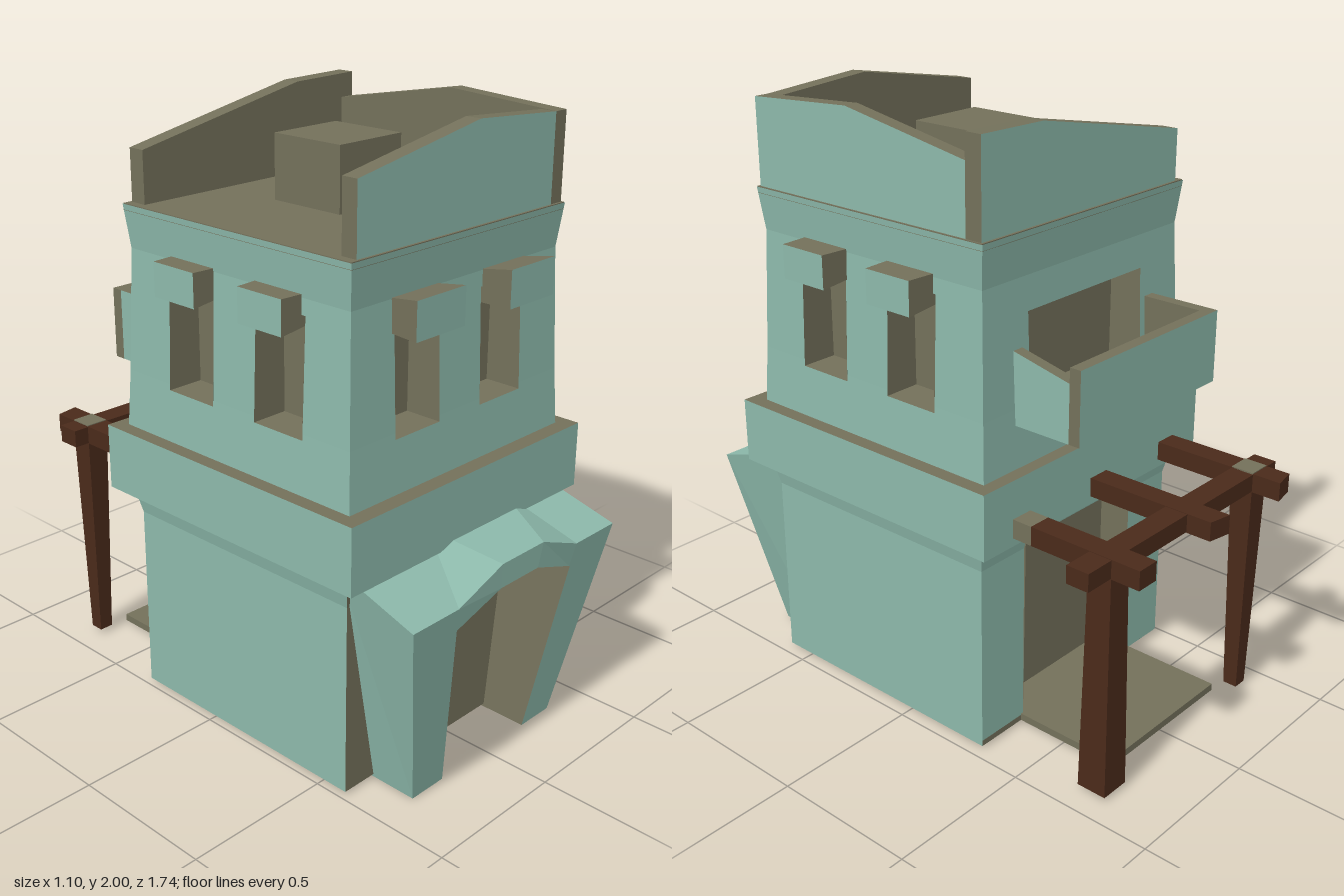
import * as THREE from 'three';

const mat = (color, side = THREE.FrontSide) => new THREE.MeshStandardMaterial({ color, side, flatShading: true });
const teal = mat(0x8cb8aa), olive = mat(0x73705a), brown = mat(0x4a2a1a);
const oliveOpen = mat(0x73705a, THREE.DoubleSide);
const TURN = { front: 0, right: Math.PI / 2, back: Math.PI, left: -Math.PI / 2 };
// Box face order: +x, -x, +y, -y, +z, -z
const OUTER = [olive, olive, olive, olive, teal, olive];

function add(parent, name, geometry, material) {
  const mesh = new THREE.Mesh(geometry, material);
  mesh.name = name;
  parent.add(mesh);
  return mesh;
}

// Box between limits, with an optional rule that moves its corners
function box(parent, name, [x0, x1], [y0, y1], [z0, z1], material, warp, segments = 1) {
  const g = new THREE.BoxGeometry(x1 - x0, y1 - y0, z1 - z0, segments);
  g.translate((x0 + x1) / 2, (y0 + y1) / 2, (z0 + z1) / 2);
  if (warp) {
    const p = g.attributes.position, v = new THREE.Vector3();
    for (let i = 0; i < p.count; i++) {
      warp(v.fromBufferAttribute(p, i));
      p.setXYZ(i, v.x, v.y, v.z);
    }
    g.computeVertexNormals();
  }
  return add(parent, name, g, material);
}

// Flat quads, corners counter-clockwise from outside
function quads(parent, name, list, material) {
  const pos = [];
  for (const [a, b, c, d] of list) pos.push(...a, ...b, ...c, ...a, ...c, ...d);
  const g = new THREE.BufferGeometry();
  g.setAttribute('position', new THREE.Float32BufferAttribute(pos, 3));
  g.computeVertexNormals();
  return add(parent, name, g, material);
}

// Four flared walls with recessed openings; each wall is made facing +z, then turned
function shell(parent, name, [x0, x1], [z0, z1], profile, holes, mats = {}) {
  const out = y => {
    let i = 1;
    while (i < profile.length - 1 && y > profile[i][0]) i++;
    const [a, b] = [profile[i - 1], profile[i]];
    return a[1] + (b[1] - a[1]) * (y - a[0]) / (b[0] - a[0]);
  };
  const spans = { front: [x0, x1, z1], right: [-z1, -z0, x1], back: [-x1, -x0, -z0], left: [z0, z1, -x0] };
  const sorted = a => [...new Set(a)].sort((p, q) => p - q);
  for (const side in spans) {
    const [u0, u1, d] = spans[side], open = holes[side] || [];
    const us = sorted([u0, u1, ...open.flatMap(h => [h[0], h[1]])]);
    const ys = sorted([...profile.map(p => p[0]), ...open.flatMap(h => [h[2], h[3]])]);
    const at = (u, y) => [u + (u === u0 ? -out(y) : u === u1 ? out(y) : 0), y, d + out(y)];
    const list = [];
    for (let i = 0; i + 1 < us.length; i++) for (let j = 0; j + 1 < ys.length; j++) {
      const u = (us[i] + us[i + 1]) / 2, y = (ys[j] + ys[j + 1]) / 2;
      if (open.some(h => u > h[0] && u < h[1] && y > h[2] && y < h[3])) continue;
      list.push([at(us[i], ys[j]), at(us[i + 1], ys[j]), at(us[i + 1], ys[j + 1]), at(us[i], ys[j + 1])]);
    }
    quads(parent, `${side}${name}Wall`, list, mats[side] || teal).rotation.y = TURN[side];
    // Recess behind each opening: a box without its front face
    for (const [a, b, lo, hi] of open) {
      const niche = box(parent, `${side}${name}Recess`, [a, b], [lo, hi], [d - 0.11, d], oliveOpen,
        v => { if (v.z > d - 0.05) v.z = d + out(v.y); });
      const index = [...niche.geometry.index.array];
      index.splice(24, 6);
      niche.geometry.setIndex(index);
      niche.geometry.clearGroups();
      niche.rotation.y = TURN[side];
    }
  }
}

// Battered entrance arch built from an outer and an inner outline
function entrance(parent) {
  const outer = [[-0.35, 0], [-0.5, 0.68], [-0.3, 0.68], [-0.1, 0.75], [0.1, 0.75], [0.28, 0.68], [0.48, 0.68], [0.34, 0]];
  const inner = [[-0.21, 0], [-0.29, 0.6], [-0.285, 0.602], [-0.1, 0.67], [0.08, 0.67], [0.265, 0.602], [0.27, 0.6], [0.2, 0]];
  const front = ([x, y]) => [x, y, Math.min(0.87, 0.76 + 0.162 * y)];
  const of = outer.map(front), nf = inner.map(front);
  const ob = outer.map(([x, y]) => [y > 0 ? x * 0.98 : x, y > 0 ? 0.765 : 0, 0.58]);
  const nb = inner.map(([x, y]) => [x, y, 0.58]);
  const face = [], reveal = [];
  for (let i = 0; i < 7; i++) {
    face.push([of[i], nf[i], nf[i + 1], of[i + 1]], [of[i], of[i + 1], ob[i + 1], ob[i]]);
    reveal.push([nf[i + 1], nf[i], nb[i], nb[i + 1]]);
  }
  reveal.push([ob[0], nb[0], nf[0], of[0]], [nb[7], ob[7], of[7], nf[7]]);
  quads(parent, 'entranceArch', face, teal);
  quads(parent, 'entranceReveal', reveal, olive);
}

// Roof wall with a kinked top; tops are [u, height] at start, kink and end
function parapet(parent, side, [d0, d1], tops) {
  const [a, k, b] = tops;
  const mid = (a[0] + b[0]) / 2;
  box(parent, side + 'Parapet', [a[0], b[0]], [1.69, 1.9], [d0, d1], OUTER, v => {
    const t = Math.abs(v.x - mid) < 0.01 ? k : v.x < mid ? a : b;
    v.x = t[0];
    if (v.y > 1.8) v.y = t[1];
  }, 2).rotation.y = TURN[side];
}

export function createModel() {
  const model = new THREE.Group();
  model.name = 'house';

  // Ground floor
  shell(model, 'Ground', [-0.48, 0.46], [-0.325, 0.6], [[0.01, 0], [0.65, 0], [0.74, 0.02]],
    { back: [[-0.26, 0.28, 0.035, 0.68]] }, { front: olive });
  box(model, 'groundBase', [-0.48, 0.46], [0.01, 0.03], [-0.325, 0.6], olive);
  box(model, 'backStep', [-0.29, 0.27], [0.01, 0.035], [-0.7, -0.3], olive);
  entrance(model);

  // Projecting band between the floors
  box(model, 'middleBand', [-0.55, 0.53], [0.74, 0.96], [-0.4, 0.68], [teal, teal, olive, olive, teal, teal]);

  // Upper floor with windows and a balcony door
  const sideWindows = [[-0.43, -0.23, 1.13, 1.5], [-0.05, 0.15, 1.13, 1.5]];
  shell(model, 'Upper', [-0.475, 0.455], [-0.33, 0.6],
    [[0.96, 0.025], [1.15, 0.015], [1.55, 0], [1.69, 0.015]], {
      front: [[-0.3, -0.105, 1.13, 1.5], [0.085, 0.28, 1.13, 1.5]],
      right: sideWindows,
      left: sideWindows.map(([a, b, c, d]) => [-b, -a, c, d]),
      back: [[-0.26, 0.29, 1.12, 1.44]],
    });
  box(model, 'roofFloor', [-0.488, 0.468], [1.67, 1.692], [-0.343, 0.613], olive);

  // Window hoods
  for (const s of [-1, 1]) {
    box(model, 'frontHood', [-0.105, 0.105], [1.45, 1.57], [0.58, 0.705], OUTER, v => {
      const wall = v.z < 0.6;
      if (wall && v.y > 1.5) v.y = 1.55;
      v.x = v.x * (wall ? 0.93 : 1) + s * (wall ? 0.2 : 0.21) - 0.01;
    });
    const side = s > 0 ? 'right' : 'left', wallAt = s > 0 ? 0.44 : 0.46;
    for (const z of [0.32, -0.045]) {
      box(model, side + 'Hood', [-0.095, 0.095], [1.45, 1.56], [wallAt, 0.55], OUTER, v => {
        if (v.z > 0.5) v.x *= 0.93;
        else if (v.y < 1.5) v.y = 1.465;
        v.x -= s * z;
      }).rotation.y = TURN[side];
    }
  }

  // Roof walls on three sides and two roof boxes
  parapet(model, 'front', [0.55, 0.605], [[-0.46, 1.91], [0.05, 2], [0.41, 1.975]]);
  parapet(model, 'right', [0.41, 0.462], [[-0.605, 1.975], [-0.2, 2], [0.275, 1.915]]);
  parapet(model, 'back', [0.275, 0.335], [[-0.462, 1.995], [-0.2, 1.99], [0.46, 1.86]]);
  box(model, 'largeRoofBox', [-0.135, 0.135], [1.69, 1.9], [-0.04, 0.235], olive);
  box(model, 'smallRoofBox', [0.185, 0.385], [1.69, 1.8], [-0.25, -0.05], olive);

  // Balcony
  const balcony = new THREE.Group();
  balcony.name = 'balcony';
  model.add(balcony);
  box(balcony, 'balconyFloor', [-0.353, 0.328], [1.1, 1.12], [-0.585, -0.32], olive);
  box(balcony, 'balconyFrontWall', [-0.355, 0.33], [1.1, 1.34], [-0.59, -0.55], [olive, olive, olive, olive, olive, teal]);
  box(balcony, 'balconyRightWall', [0.29, 0.33], [1.1, 1.34], [-0.55, -0.32],
    [teal, olive, olive, olive, olive, olive], v => { if (v.y > 1.2 && v.z < -0.5) v.y = 1.29; });
  box(balcony, 'balconyLeftWall', [-0.355, -0.315], [1.1, 1.34], [-0.55, -0.32],
    [olive, teal, olive, olive, olive, olive]);

  // Timber pergola
  const pergola = new THREE.Group();
  pergola.name = 'pergola';
  model.add(pergola);
  box(pergola, 'crossBeam', [-0.475, 0.505], [0.77, 0.83], [-0.77, -0.69], brown);
  [-0.38, -0.015, 0.36].forEach((x, i) => {
    box(pergola, 'joist', [x - 0.04, x + 0.04], [0.768, 0.832], [-0.87, i === 2 ? -0.47 : -0.38], brown,
      v => { if (v.z < -0.8 && (i ? v.x > x : v.x < x)) v.z += i === 2 ? 0 : 0.015; });
  });
  box(pergola, 'joistEnd', [0.32, 0.4], [0.768, 0.832], [-0.47, -0.38], olive);
  box(pergola, 'beamJoint', [-0.42, -0.34], [0.775, 0.835], [-0.77, -0.69], olive);
  for (const [x, top, foot] of [[0.36, 0.042, 0.052], [-0.38, 0.04, 0.025]]) {
    box(pergola, 'post', [-1, 1], [0.015, 0.77], [-1, 1], brown, v => {
      const r = v.y < 0.4 ? foot : top;
      v.set(x + v.x * r, v.y, -0.73 + v.z * r);
    });
  }
  return model;
}
